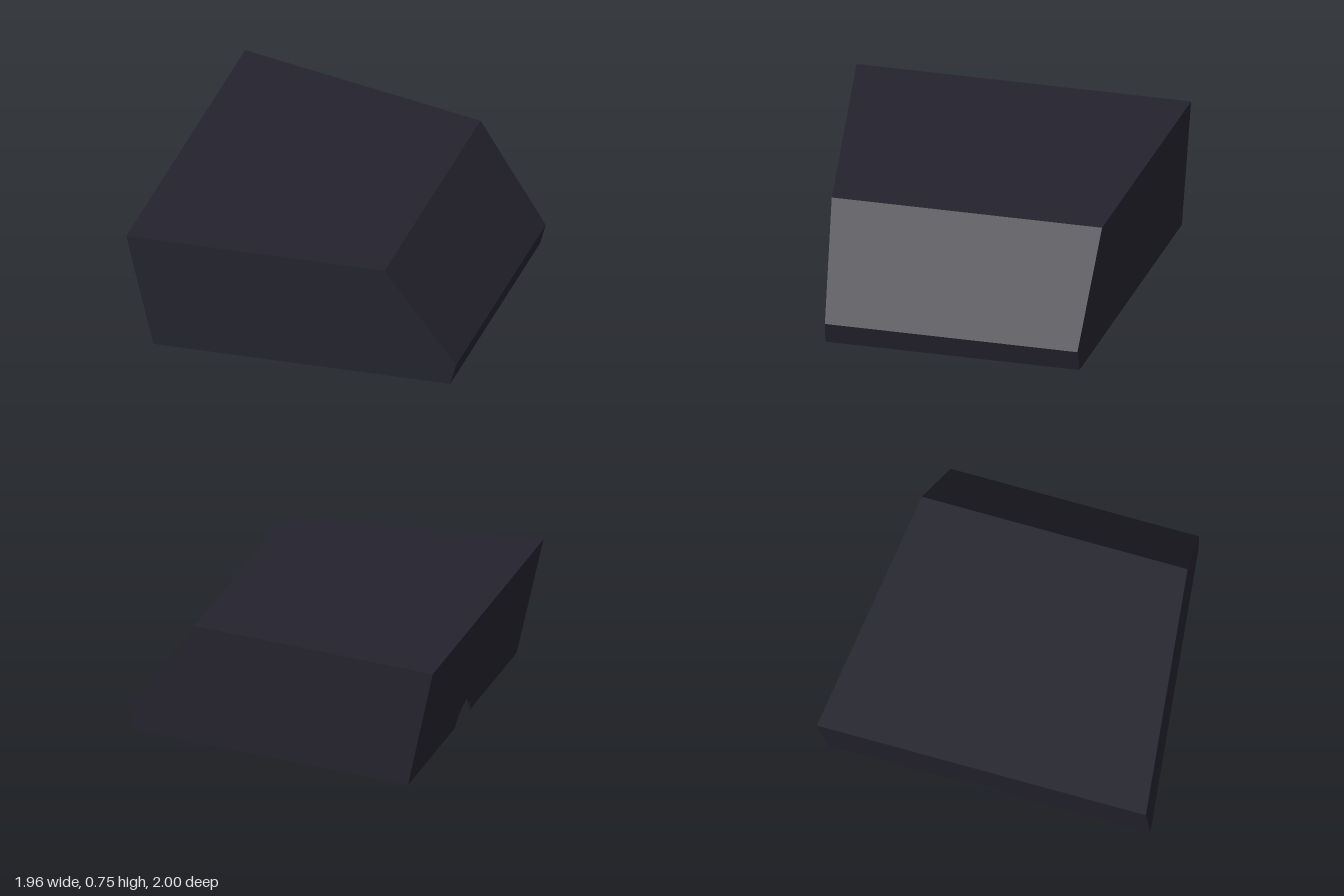
import * as THREE from 'three';

// Side profiles (x, y): up the rear wall, along the roof, down the slope and lip
const OUTER = [[-0.82, 0], [-0.98, 0.745], [0.555, 0.745], [0.98, 0.14], [0.945, 0]];
const INNER = [[-0.8, 0], [-0.955, 0.725], [0.545, 0.725], [0.958, 0.136], [0.925, 0]];
const WALL = 0.02;
const NOTCH = 0.13;
const STEPS = 20;

// The body narrows evenly towards +x
const halfWidth = (x, inset) => 0.877 - 0.125 * x - inset;
const at = ([x, y], inset, side) => [x, y, side * halfWidth(x, inset)];

// Point on the rear wall of a profile at height y
const onRear = (profile, y, z) => {
  const [[x0, y0], [x1, y1]] = profile;
  return [x0 + (x1 - x0) * (y - y0) / (y1 - y0), y, z];
};

// Arch of the notch as (z, y), from +z over the top to -z
const arch = Array.from({ length: STEPS + 1 }, (_, k) => {
  const a = Math.PI * k / STEPS;
  return [NOTCH * Math.cos(a), k === STEPS ? 0 : NOTCH * Math.sin(a)];
});

// Flat convex polygon as a fan of triangles
const fan = (pts) => {
  const out = [];
  for (let i = 1; i < pts.length - 1; i++) out.push(pts[0], pts[i], pts[i + 1]);
  return out;
};

// Rear wall with the arch cut out of its lower edge
function rearWall(profile, inset) {
  const wb = halfWidth(profile[0][0], inset), wt = halfWidth(profile[1][0], inset);
  const top = profile[1][1];
  const outline = [[-wb, 0], ...[...arch].reverse(), [wb, 0], [wt, top], [-wt, top]]
    .map(([z, y]) => new THREE.Vector2(z, y));
  return THREE.ShapeUtils.triangulateShape(outline, []).flat()
    .map((i) => onRear(profile, outline[i].y, outline[i].x));
}

// All walls of one skin, facing outwards
function skin(profile, inset) {
  const tris = rearWall(profile, inset);
  for (let i = 1; i < 4; i++) {
    const [a, b] = [profile[i], profile[i + 1]];
    tris.push(...fan([at(a, inset, 1), at(b, inset, 1), at(b, inset, -1), at(a, inset, -1)]));
  }
  tris.push(...fan([...profile].reverse().map((p) => at(p, inset, 1))));
  tris.push(...fan(profile.map((p) => at(p, inset, -1))));
  return tris;
}

export function createModel() {
  const group = new THREE.Group();
  group.name = 'hollowCover';
  const charcoal = new THREE.MeshStandardMaterial({ color: 0x24232e, side: THREE.DoubleSide, flatShading: true });
  charcoal.name = 'charcoal';

  const add = (name, tris) => {
    const geo = new THREE.BufferGeometry();
    geo.setAttribute('position', new THREE.Float32BufferAttribute(tris.flat(), 3));
    geo.computeVertexNormals();
    const mesh = new THREE.Mesh(geo, charcoal);
    mesh.name = name;
    group.add(mesh);
  };

  add('outerShell', skin(OUTER, 0));
  add('innerShell', skin(INNER, WALL).reverse()); // reversed to face the cavity

  // Underside rim joining the two skins, open at the notch
  const o = (i, s) => at(OUTER[i], 0, s);
  const n = (i, s) => at(INNER[i], WALL, s);
  add('bottomRim', [
    [o(0, 1), n(0, 1), n(4, 1), o(4, 1)],
    [o(4, -1), n(4, -1), n(0, -1), o(0, -1)],
    [o(4, 1), n(4, 1), n(4, -1), o(4, -1)],
    [o(0, 1), onRear(OUTER, 0, NOTCH), onRear(INNER, 0, NOTCH), n(0, 1)],
    [onRear(OUTER, 0, -NOTCH), o(0, -1), n(0, -1), onRear(INNER, 0, -NOTCH)],
  ].flatMap(fan));

  // Wall thickness around the arch
  add('notchEdge', arch.slice(1).flatMap(([z, y], k) => {
    const [z0, y0] = arch[k];
    return fan([onRear(OUTER, y0, z0), onRear(OUTER, y, z), onRear(INNER, y, z), onRear(INNER, y0, z0)]);
  }));

  return group;
}
